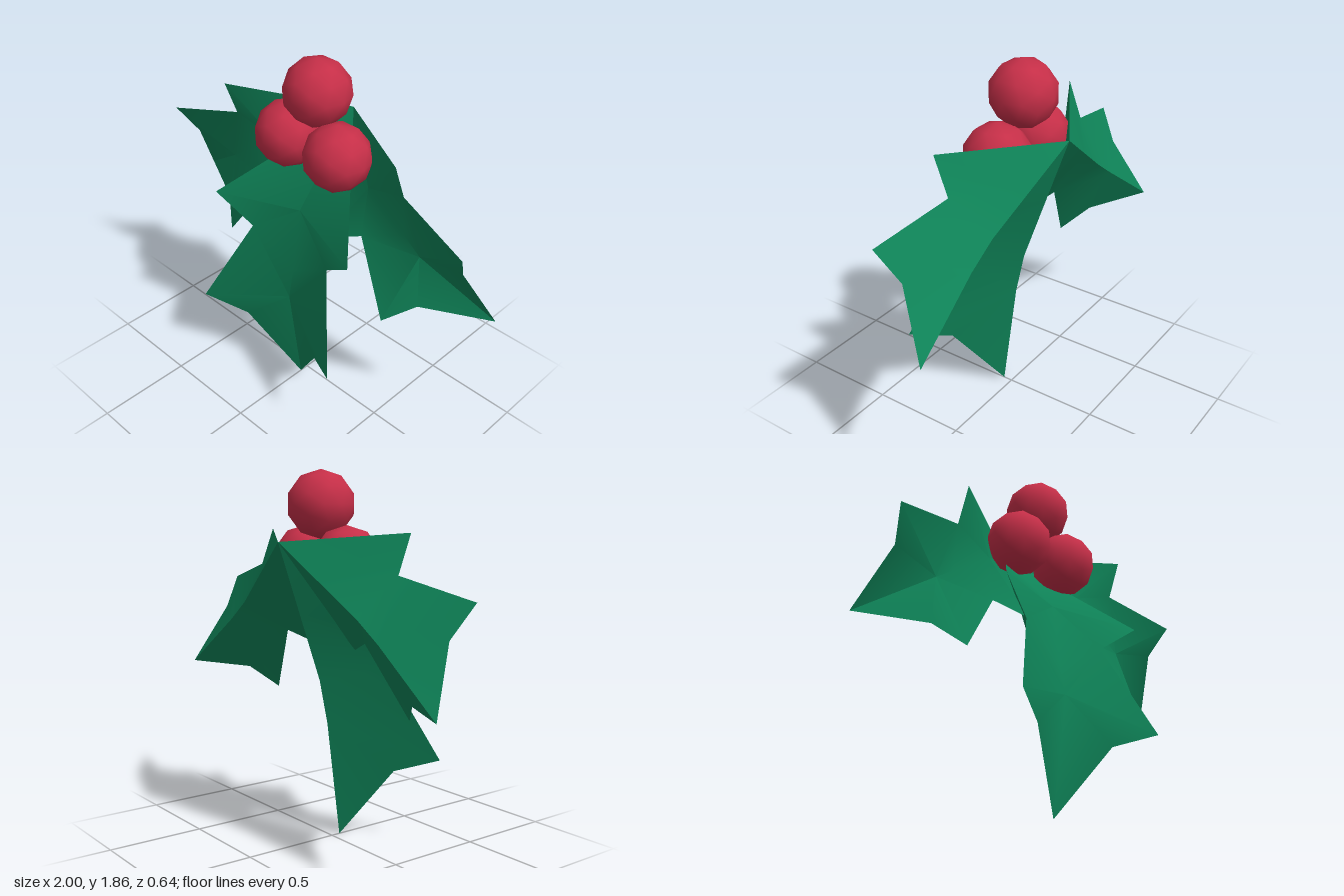
import * as THREE from 'three';
import { toCreasedNormals } from 'three/addons/utils/BufferGeometryUtils.js';

// Half outline from stem to tip: [along, across, lift]
const OUTLINE = [[0, 0, 0], [0.57, 0.455, 0.397], [0.70, 0.26, 0.294], [1.19, 0.455, 0.37], [1.24, 0.25, 0.234], [1.56, 0, 0]];
// Midribs of the upper and lower skins: [along, across, lift]
const FRONT_RIB = [[0.505, 0, 0.258], [0.852, 0, 0.225], [1.01, 0, 0.218]];
const BACK_RIB = [[0.37, 0, 0.037], [0.73, 0, 0.073], [0.96, 0, 0.066]];
// Triangles of one half; 0-5 are outline points, 6-8 rib points
const FACES = [[0, 6, 1], [1, 6, 2], [2, 6, 7], [2, 7, 8], [2, 8, 3], [3, 8, 4], [4, 8, 5]];

// One skin of a leaf, mirrored across its midrib
function skin(rib, isFront) {
  const points = [...OUTLINE, ...rib];
  const positions = [];
  for (const side of [1, -1]) {
    for (const [a, b, c] of FACES) {
      const order = (side > 0) === isFront ? [a, b, c] : [a, c, b];
      for (const i of order) {
        const [along, across, lift] = points[i];
        positions.push(along, across * side, lift);
      }
    }
  }
  const geometry = new THREE.BufferGeometry();
  geometry.setAttribute('position', new THREE.Float32BufferAttribute(positions, 3));
  return toCreasedNormals(geometry, isFront ? 0.75 : 0.45);
}

export function createModel() {
  const model = new THREE.Group();
  const leafGreen = new THREE.MeshStandardMaterial({ color: 0x0f8559 });
  leafGreen.name = 'leaf green';
  const berryRed = new THREE.MeshStandardMaterial({ color: 0xc62f48 });
  berryRed.name = 'berry red';

  // Three folded leaves fanning out from one stem point
  const front = skin(FRONT_RIB, true);
  const back = skin(BACK_RIB, false);
  const leaves = [
    ['centreLeaf', [0, -0.972, 0.236], [0, 0.236, 0.972], 1],
    ['leftLeaf', [0.815, -0.575, 0.073], [-0.056, 0.047, 0.999], 0.785],
    ['rightLeaf', [-0.815, -0.575, 0.073], [0.056, 0.047, 0.999], 0.785],
  ];
  for (const [name, along, lift, size] of leaves) {
    const d = new THREE.Vector3(...along).normalize();
    const w = new THREE.Vector3(...lift).cross(d).normalize();
    const n = d.clone().cross(w);
    const leaf = new THREE.Group();
    leaf.name = name;
    leaf.quaternion.setFromRotationMatrix(new THREE.Matrix4().makeBasis(d, w, n));
    leaf.position.set(0, 1.527, -0.32);
    leaf.scale.setScalar(size);
    for (const [part, geometry] of [['leafFront', front], ['leafBack', back]]) {
      const mesh = new THREE.Mesh(geometry, leafGreen);
      mesh.name = part;
      leaf.add(mesh);
    }
    model.add(leaf);
  }

  // Cluster of three berries
  const berry = new THREE.IcosahedronGeometry(0.168, 1);
  const berries = [
    ['topBerry', 0, 1.703, -0.067],
    ['leftBerry', 0.162, 1.437, -0.035],
    ['rightBerry', -0.162, 1.437, -0.035],
  ];
  for (const [name, x, y, z] of berries) {
    const mesh = new THREE.Mesh(berry, berryRed);
    mesh.name = name;
    mesh.position.set(x, y, z);
    model.add(mesh);
  }
  return model;
}
